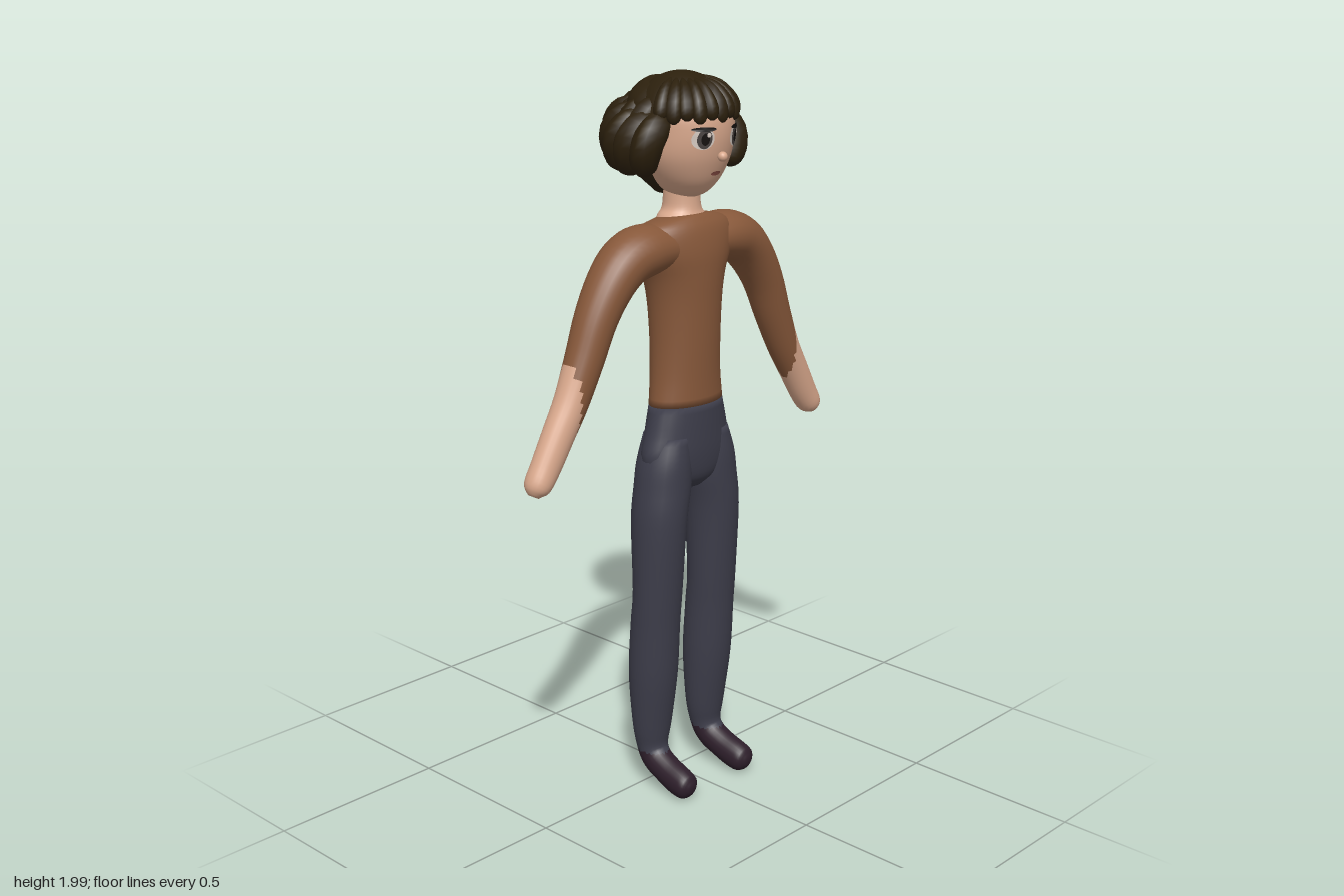
import * as THREE from 'three';

const mat = (name, color) => Object.assign(new THREE.MeshStandardMaterial({ color }), { name });
const V = (x, y, z) => new THREE.Vector3(x, y, z);

// Smooth skin over rings [x, y, z, radius along axis, radius across]
function loft(rings, axis, sides = 24, steps = 4) {
  const path = new THREE.CatmullRomCurve3(rings.map(r => V(r[0], r[1], r[2])), false, 'catmullrom');
  const size = new THREE.CatmullRomCurve3(rings.map(r => V(r[3], r[4], 0)), false, 'catmullrom');
  const rows = (rings.length - 1) * steps, pos = [], index = [];
  for (let i = 0; i <= rows; i++) {
    const t = i / rows, c = path.getPoint(t), s = size.getPoint(t);
    const across = path.getTangent(t).cross(axis).normalize();
    for (let j = 0; j < sides; j++) {
      const a = j / sides * Math.PI * 2;
      const p = c.clone().addScaledVector(axis, Math.cos(a) * s.x).addScaledVector(across, Math.sin(a) * s.y);
      pos.push(p.x, p.y, p.z);
    }
  }
  for (let i = 0; i < rows; i++) for (let j = 0; j < sides; j++) {
    const k = (j + 1) % sides, a = i * sides, b = a + sides;
    index.push(a + j, a + k, b + k, a + j, b + k, b + j);
  }
  // end caps
  const first = (rows + 1) * sides, last = rows * sides;
  pos.push(...path.getPoint(0).toArray(), ...path.getPoint(1).toArray());
  for (let j = 0; j < sides; j++) {
    const k = (j + 1) % sides;
    index.push(first, k, j, first + 1, last + j, last + k);
  }
  const g = new THREE.BufferGeometry();
  g.setAttribute('position', new THREE.Float32BufferAttribute(pos, 3));
  g.setIndex(index);
  g.computeVertexNormals();
  return g;
}

// Split a skin into two colour groups by face centre
function paint(g, isSecond) {
  const p = g.attributes.position, idx = g.index.array, parts = [[], []];
  for (let i = 0; i < idx.length; i += 3) {
    const c = V(0, 0, 0);
    for (let k = 0; k < 3; k++) c.add(V(0, 0, 0).fromBufferAttribute(p, idx[i + k]));
    parts[isSecond(c.divideScalar(3)) ? 1 : 0].push(idx[i], idx[i + 1], idx[i + 2]);
  }
  g.setIndex([...parts[0], ...parts[1]]);
  g.addGroup(0, parts[0].length, 0);
  g.addGroup(parts[0].length, parts[1].length, 1);
  return g;
}

// Head sections: y, half width, half depth
const HEAD_Z = 0.045;
const HEAD = [[1.675, 0.025, 0.03], [1.69, 0.052, 0.062], [1.72, 0.082, 0.09], [1.76, 0.106, 0.11], [1.8, 0.119, 0.123],
  [1.85, 0.122, 0.13], [1.9, 0.118, 0.125], [1.95, 0.09, 0.095], [1.975, 0.04, 0.04]];

function faceZ(x, y) {
  const i = Math.max(1, HEAD.findIndex(h => h[0] >= y)), [a, b] = [HEAD[i - 1], HEAD[i]];
  const t = (y - a[0]) / (b[0] - a[0]);
  const w = a[1] + (b[1] - a[1]) * t, d = a[2] + (b[2] - a[2]) * t;
  return HEAD_Z + d * Math.sqrt(Math.max(0, 1 - (x / w) ** 2));
}

// Thin oval that follows the face
function facePatch(x, y, rx, ry, lift) {
  const g = new THREE.CircleGeometry(1, 24).scale(rx, ry, 1).translate(x, y, 0);
  const p = g.attributes.position;
  for (let i = 0; i < p.count; i++) p.setZ(i, faceZ(p.getX(i), p.getY(i)) + lift);
  g.computeVertexNormals();
  return g;
}

export function createModel() {
  const skin = mat('skin', 0xd9a88c), hair = mat('hair', 0x2c200d), shirt = mat('shirt', 0x87583a);
  const cloth = mat('trousers', 0x3d3d4a), shoe = mat('shoe', 0x2e1f2b), white = mat('eye white', 0xd9cdc4);
  const iris = mat('iris', 0x4a4442), dark = mat('lash', 0x15110f), lip = mat('lip', 0x93544a);
  const model = new THREE.Group();
  model.name = 'person';
  const X = V(1, 0, 0), Z = V(0, 0, 1);
  const add = (name, geo, material, parent = model) => {
    const m = new THREE.Mesh(geo, material);
    m.name = name;
    parent.add(m);
    return m;
  };
  const upright = rows => rows.map(([y, rx, z, rz]) => [0, y, z, rx, rz]);

  // Torso, pelvis and neck
  add('torso', loft(upright([[1.122, 0.119, 0.046, 0.078], [1.2, 0.109, 0.044, 0.081], [1.3, 0.105, 0.043, 0.086],
    [1.4, 0.11, 0.041, 0.091], [1.47, 0.125, 0.039, 0.095], [1.53, 0.155, 0.037, 0.096], [1.58, 0.165, 0.035, 0.088],
    [1.61, 0.135, 0.032, 0.074], [1.625, 0.07, 0.03, 0.06]]), X, 32), shirt);
  add('pelvis', loft(upright([[0.885, 0.05, 0.047, 0.04], [0.92, 0.12, 0.047, 0.068], [0.98, 0.155, 0.047, 0.078],
    [1.05, 0.138, 0.047, 0.079], [1.122, 0.119, 0.046, 0.078]]), X, 32), cloth);
  add('neck', loft(upright([[1.6, 0.08, 0.03, 0.064], [1.625, 0.069, 0.03, 0.059], [1.645, 0.052, 0.03, 0.053],
    [1.68, 0.048, 0.03, 0.05], [1.74, 0.048, 0.03, 0.05]]), X), skin);

  for (const s of [1, -1]) {
    const side = s > 0 ? 'left' : 'right';
    // Arm: sleeve and bare forearm with a rounded hand
    const arm = [[0.06, 1.55, 0.075, 0.055], [0.15, 1.55, 0.08, 0.068], [0.215, 1.53, 0.074, 0.067], [0.27, 1.48, 0.066, 0.062],
      [0.322, 1.4, 0.058, 0.056], [0.365, 1.3, 0.051, 0.052], [0.412, 1.2, 0.045, 0.047], [0.46, 1.12, 0.041, 0.044],
      [0.505, 1.045, 0.038, 0.041], [0.537, 0.998, 0.035, 0.034], [0.549, 0.977, 0.015, 0.014]];
    add(side + 'Arm', paint(loft(arm.map(([x, y, rz, r]) => [x * s, y, 0.036, rz, r]), Z),
      c => Math.abs(c.x) > 0.42), [shirt, skin]);
    // Leg: trouser leg running into the shoe
    const leg = [[0.075, 1.04, 0.047, 0.055, 0.07], [0.084, 0.97, 0.047, 0.072, 0.078], [0.091, 0.9, 0.047, 0.078, 0.079],
      [0.105, 0.8, 0.047, 0.075, 0.078], [0.109, 0.6, 0.045, 0.071, 0.066], [0.11, 0.5, 0.037, 0.07, 0.067],
      [0.11, 0.35, 0.028, 0.07, 0.067], [0.109, 0.2, 0.022, 0.059, 0.052], [0.11, 0.13, 0.024, 0.046, 0.043],
      [0.112, 0.092, 0.045, 0.041, 0.043], [0.114, 0.068, 0.09, 0.039, 0.042], [0.116, 0.05, 0.14, 0.038, 0.043],
      [0.117, 0.045, 0.17, 0.034, 0.035], [0.117, 0.043, 0.186, 0.013, 0.013]];
    add(side + 'Leg', paint(loft(leg.map(([x, ...r]) => [x * s, ...r]), X), c => c.y < 0.118), [cloth, shoe]);
  }

  // Head and face
  const head = new THREE.Group();
  head.name = 'head';
  model.add(head);
  add('face', loft(HEAD.map(([y, rx, rz]) => [0, y, HEAD_Z, rx, rz]), X, 40), skin, head);
  const nose = add('nose', new THREE.SphereGeometry(0.013, 16, 12), skin, head);
  nose.position.set(0, 1.79, 0.174);
  add('mouth', facePatch(0, 1.745, 0.017, 0.006, 0.004), lip, head);
  for (const s of [1, -1]) {
    add('eyeWhite', facePatch(0.056 * s, 1.838, 0.027, 0.027, 0.003), white, head);
    add('iris', facePatch(0.055 * s, 1.838, 0.018, 0.025, 0.005), iris, head);
    add('pupil', facePatch(0.055 * s, 1.838, 0.01, 0.016, 0.007), dark, head);
    add('eyeGlint', facePatch(0.055 * s + 0.006, 1.849, 0.005, 0.006, 0.009), white, head);
    add('upperLash', facePatch(0.057 * s, 1.863, 0.029, 0.006, 0.008), dark, head);
  }

  // Hair: dome, back of the head, fringe and curls
  const hairdo = new THREE.Group();
  hairdo.name = 'hair';
  model.add(hairdo);
  const dome = add('hairDome', new THREE.SphereGeometry(1, 32, 16, 0, Math.PI * 2, 0, 1.3), hair, hairdo);
  dome.scale.set(0.133, 0.14, 0.14);
  dome.position.set(0, 1.858, 0.03);
  add('backHair', loft(upright([[1.68, 0.03, -0.03, 0.028], [1.72, 0.08, -0.024, 0.066], [1.78, 0.12, -0.02, 0.088],
    [1.85, 0.131, -0.012, 0.108], [1.92, 0.122, 0, 0.11], [1.96, 0.08, 0.01, 0.08]]), X, 28), hair, hairdo);

  const strand = (name, points, turn) =>
    add(name, loft(points, V(Math.cos(turn), 0, Math.sin(turn)), 10, 3), hair, hairdo);

  for (let i = 0; i < 11; i++) {
    const a = (i - 5) * 0.235, drop = i % 2 * 0.008;
    const at = (r, y, w, d) => [Math.sin(a) * r * 0.93, y, 0.02 + Math.cos(a) * r, w, d];
    strand('fringeStrand', [at(0.06, 1.978, 0.006, 0.008), at(0.105, 1.958, 0.016, 0.018), at(0.14, 1.925, 0.021, 0.018),
      at(0.15, 1.897 - drop, 0.018, 0.015), at(0.15, 1.884 - drop, 0.006, 0.005)], -a);
  }

  // Curls sweep around the back from one side to the other
  const curl = (a, grow, lift, inner) => {
    const sideways = Math.abs(Math.sin(a));
    const at = (r, y, w, swirl) => {
      const b = a + swirl, k = r - inner - 0.012 * sideways;
      return [Math.sin(b) * k, y + lift, 0.018 - Math.cos(b) * k, w * grow, w * grow];
    };
    strand('curl', [at(0.105, 1.905, 0.018, -0.14), at(0.145, 1.89, 0.036, -0.08), at(0.174, 1.85, 0.043, 0),
      at(0.172, 1.805, 0.041, 0.07), at(0.158, 1.775, 0.03, 0.12), at(0.15, 1.76, 0.01, 0.14)], a);
  };
  for (let i = 0; i < 11; i++) {
    const a = (i - 5) * 0.37;
    curl(a, 1 + 0.06 * Math.sin(i * 2.3), 0.016 - 0.034 * Math.abs(Math.sin(a)), 0.004 * (i % 2));
  }
  for (let i = 0; i < 8; i++) curl((i - 3.5) * 0.42, 0.8, 0.02, 0.032);

  return model;
}
